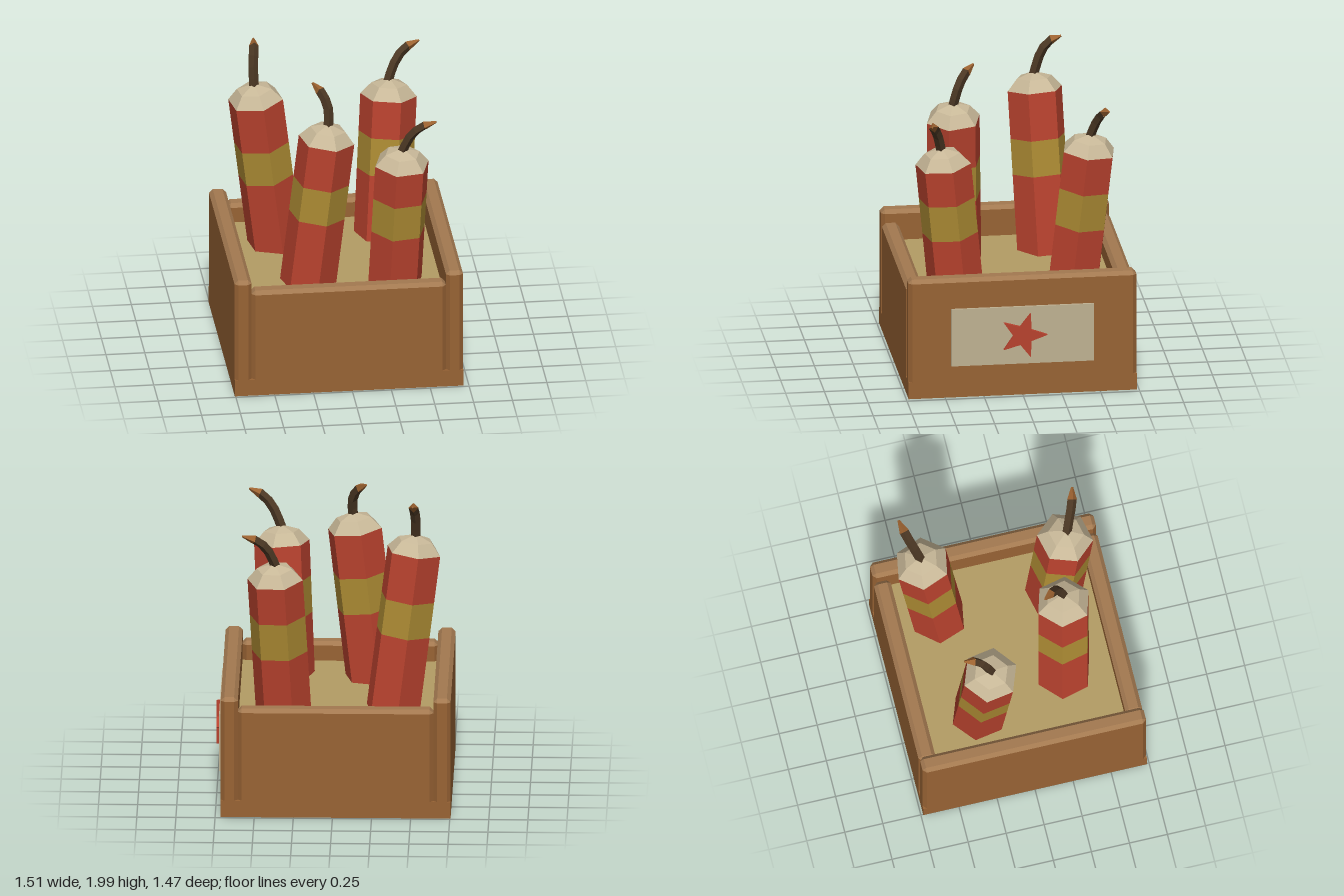
import * as THREE from 'three';
import { ConvexGeometry } from 'three/addons/geometries/ConvexGeometry.js';

const material = (name, color) => {
  const m = new THREE.MeshStandardMaterial({ color });
  m.name = name;
  return m;
};

// Faceted normals for the low-poly look
function flat(geometry) {
  const g = geometry.index ? geometry.toNonIndexed() : geometry;
  g.computeVertexNormals();
  return g;
}

export function createModel() {
  const wood = material('wood', 0x986334);
  const trim = material('worn wood edge', 0xa37950);
  const sand = material('sand', 0xb39c64);
  const red = material('red paper', 0xb8422e);
  const yellow = material('yellow band', 0xab8a33);
  const cream = material('cream cap', 0xc8b898);
  const labelPaint = material('label', 0xbfb192);
  const fuseCord = material('fuse cord', 0x4c3824);
  const fuseEnd = material('fuse end', 0x9c6230);

  const model = new THREE.Group();
  model.name = 'fireworkCrate';

  function add(parent, name, geometry, mat) {
    const mesh = new THREE.Mesh(geometry, mat);
    mesh.name = name;
    parent.add(mesh);
    return mesh;
  }

  function block(name, min, max, mat) {
    const [w, h, d] = max.map((v, i) => v - min[i]);
    const mesh = add(model, name, new THREE.BoxGeometry(w, h, d), mat);
    mesh.position.set(...max.map((v, i) => (v + min[i]) / 2));
  }

  // Board with chamfered edges; upward faces take the worn edge colour
  function board(name, min, max, c = 0.024) {
    const points = [];
    for (let axis = 0; axis < 3; axis++) {
      for (let corner = 0; corner < 8; corner++) {
        const p = [0, 1, 2].map((i) => {
          const inset = i === axis ? 0 : c;
          return (corner >> i) & 1 ? max[i] - inset : min[i] + inset;
        });
        points.push(new THREE.Vector3(...p));
      }
    }
    const g = flat(new ConvexGeometry(points));
    const normal = g.attributes.normal;
    for (let i = 0; i < normal.count; i += 3) g.addGroup(i, 3, normal.getY(i) > 0.5 ? 1 : 0);
    add(model, name, g, [wood, trim]);
  }

  // Crate
  block('crateBase', [-0.755, 0, -0.735], [0.715, 0.11, 0.735], wood);
  block('sandFill', [-0.66, 0.1, -0.64], [0.62, 0.6, 0.64], sand);
  board('rightWall', [-0.755, 0.04, -0.735], [-0.645, 0.8, 0.735]);
  board('leftWall', [0.605, 0.04, -0.735], [0.715, 0.8, 0.735]);
  board('frontWall', [-0.645, 0.04, 0.625], [0.605, 0.725, 0.735]);
  board('backWall', [-0.645, 0.04, -0.735], [0.605, 0.725, -0.625]);

  // Label with a raised star
  block('labelPlate', [0.71, 0.215, -0.457], [0.731, 0.6, 0.461], labelPaint);
  const starShape = new THREE.Shape(
    Array.from({ length: 10 }, (_, i) => {
      const r = i % 2 ? 0.064 : 0.155;
      const a = (i * Math.PI) / 5;
      return new THREE.Vector2(r * Math.cos(a), r * Math.sin(a));
    })
  );
  const star = add(model, 'star',
    new THREE.ExtrudeGeometry(starShape, { depth: 0.026, bevelEnabled: false }), red);
  star.rotation.y = Math.PI / 2;
  star.position.set(0.729, 0.41, 0);

  // Sticks: rim centre, point where the axis meets the sand, hexagon phase, band depths, fuse path
  const sticks = [
    { top: [-0.51, 1.635, -0.235], foot: [-0.38, 0.6, -0.28], phase: 20, band: [0.31, 0.545],
      fuse: [[-0.52, 1.71, -0.225], [-0.522, 1.86, -0.27], [-0.51, 1.955, -0.325], [-0.505, 1.985, -0.405]] },
    { top: [-0.12, 1.59, 0.34], foot: [-0.235, 0.6, 0.315], phase: 16, band: [0.29, 0.53],
      fuse: [[-0.11, 1.67, 0.345], [-0.105, 1.79, 0.315], [-0.14, 1.885, 0.265], [-0.195, 1.93, 0.2]] },
    { top: [0.35, 1.455, 0.465], foot: [0.315, 0.6, 0.38], phase: 47, band: [0.235, 0.475],
      fuse: [[0.345, 1.53, 0.475], [0.4, 1.66, 0.505], [0.47, 1.745, 0.54], [0.56, 1.78, 0.562]] },
    { top: [0.372, 1.515, -0.47], foot: [0.32, 0.6, -0.375], phase: 10, band: [0.25, 0.5],
      fuse: [[0.365, 1.59, -0.475], [0.41, 1.71, -0.51], [0.485, 1.805, -0.55], [0.58, 1.84, -0.575]] },
  ];
  const R = 0.181;
  const up = new THREE.Vector3(0, 1, 0);

  sticks.forEach(({ top, foot, phase, band, fuse }, n) => {
    const rim = new THREE.Vector3(...top);
    const axis = rim.clone().sub(new THREE.Vector3(...foot));
    const length = axis.length() + 0.12;
    const stick = new THREE.Group();
    stick.name = 'stick' + (n + 1);
    stick.position.copy(rim);
    stick.quaternion.setFromUnitVectors(up, axis.normalize());
    model.add(stick);

    const start = THREE.MathUtils.degToRad(30 - phase);
    const section = (name, r1, y1, r0, y0, mat) => {
      const g = new THREE.CylinderGeometry(r1, r0, y1 - y0, 6, 1, true, start);
      add(stick, name, flat(g), mat).position.y = (y0 + y1) / 2;
    };
    section('upperTube', R, 0, R, -band[0], red);
    section('band', R, -band[0], R, -band[1], yellow);
    section('lowerTube', R, -band[1], R, -length, red);
    section('capShoulder', 0.115, 0.075, R, 0, cream);
    section('capTop', 0.001, 0.113, 0.115, 0.075, cream);

    // Bent square fuse ending in a frayed point
    const path = fuse.map((p) => new THREE.Vector3(...p));
    const tip = path.pop();
    const neck = path[2].clone().lerp(tip, 0.2);
    const curve = new THREE.CatmullRomCurve3([...path, neck]);
    add(model, 'fuse', flat(new THREE.TubeGeometry(curve, 4, 0.031, 4)), fuseCord);
    const direction = tip.clone().sub(neck);
    const end = add(model, 'fuseTip',
      flat(new THREE.CylinderGeometry(0.007, 0.032, direction.length(), 4)), fuseEnd);
    end.position.copy(neck).lerp(tip, 0.5);
    end.quaternion.setFromUnitVectors(up, direction.normalize());
  });

  return model;
}
